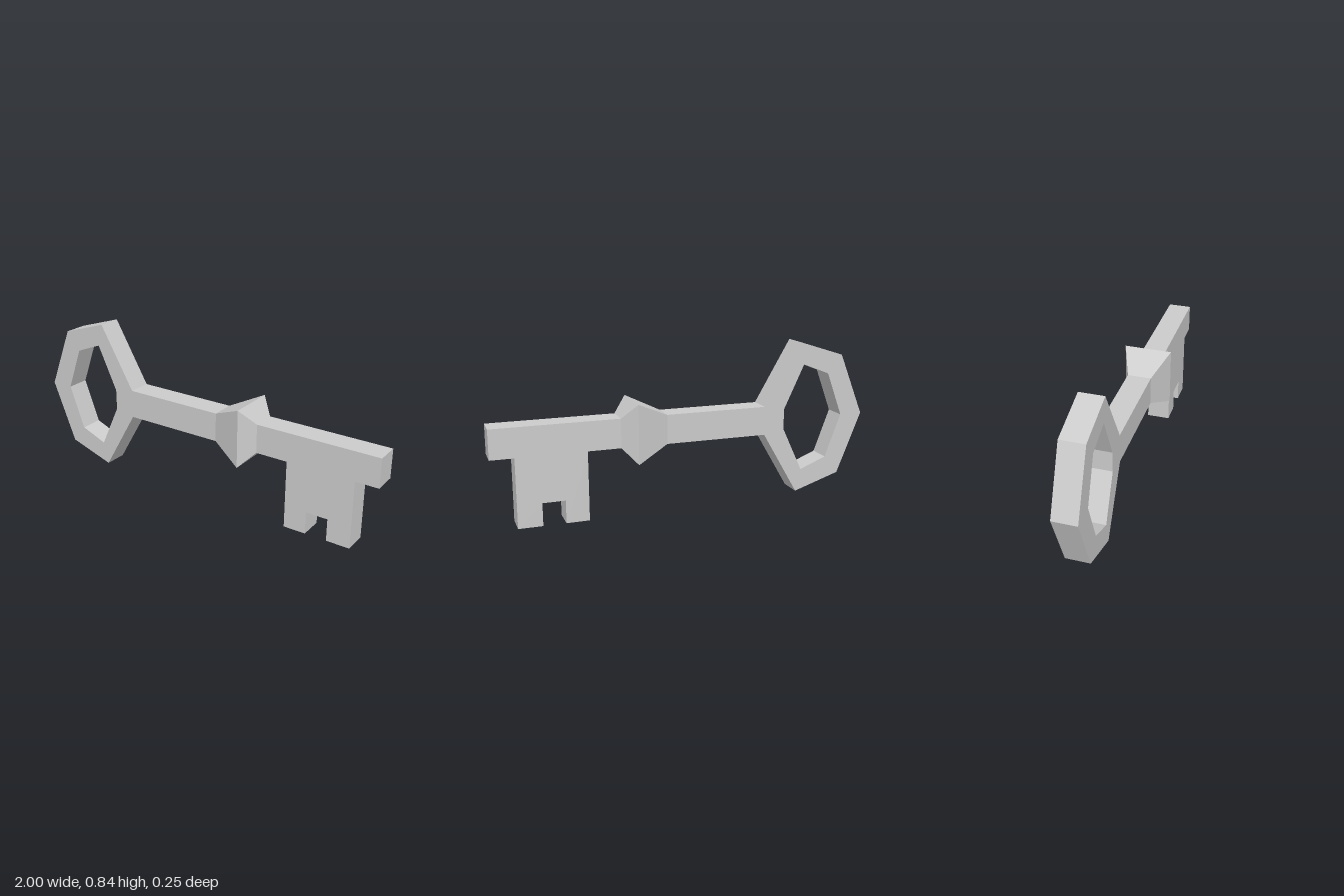
import * as THREE from 'three';

const MID = 0.433;     // height of the shaft axis
const HALF_Y = 0.0755; // half height of the shaft
const HALF_Z = 0.062;  // half thickness of the key

const material = new THREE.MeshStandardMaterial({ color: 0xcccccc, flatShading: true });
const toPoints = (list) => list.map(([x, y]) => new THREE.Vector2(x, y));

// Mirrors an upper half outline about the shaft axis and runs it counter-clockwise;
// heights are offsets from the axis
function mirrored(half) {
  const lower = half.filter(([, y]) => y > 0).map(([x, y]) => [x, -y]);
  return toPoints([...lower, ...half.slice().reverse()].map(([x, y]) => [x, MID + y]));
}

// Flat plate of the key's thickness, centred on z = 0
function plate(name, shape) {
  const geometry = new THREE.ExtrudeGeometry(shape, { depth: 2 * HALF_Z, bevelEnabled: false });
  geometry.translate(0, 0, -HALF_Z);
  const mesh = new THREE.Mesh(geometry, material);
  mesh.name = name;
  return mesh;
}

export function createModel() {
  const key = new THREE.Group();
  key.name = 'key';
  const collarStart = 0.115, collarPeak = 0.283, collarEnd = 0.355;

  // Faceted ring handle running into the shaft
  const handle = new THREE.Shape(mirrored([
    [-1, 0], [-0.868, 0.327], [-0.617, 0.407], [-0.423, HALF_Y], [collarStart, HALF_Y],
  ]));
  handle.holes.push(new THREE.Path(mirrored([
    [-0.876, 0], [-0.79, 0.23], [-0.645, 0.287], [-0.535, 0.054],
  ])));
  key.add(plate('handleAndShaft', handle));

  // Square collar flaring out to a ridge: a four-sided lathe laid along x
  const r = Math.SQRT2;
  const profile = toPoints([[r, collarStart], [2.02 * r, collarPeak], [r, collarEnd]]);
  const collarGeometry = new THREE.LatheGeometry(profile, 4, Math.PI / 4);
  collarGeometry.scale(HALF_Y, 1, HALF_Z);
  collarGeometry.rotateZ(-Math.PI / 2);
  const collar = new THREE.Mesh(collarGeometry, material);
  collar.name = 'collar';
  collar.position.y = MID;
  key.add(collar);

  // Blade with two teeth pointing down
  const top = MID + HALF_Y, bottom = MID - HALF_Y;
  key.add(plate('bladeAndTeeth', new THREE.Shape(toPoints([
    [collarEnd, top], [collarEnd, bottom], [0.525, bottom], [0.525, 0], [0.643, 0], [0.643, 0.118],
    [0.758, 0.118], [0.758, 0], [0.881, 0], [0.881, bottom], [1, bottom], [1, top],
  ]))));

  return key;
}
